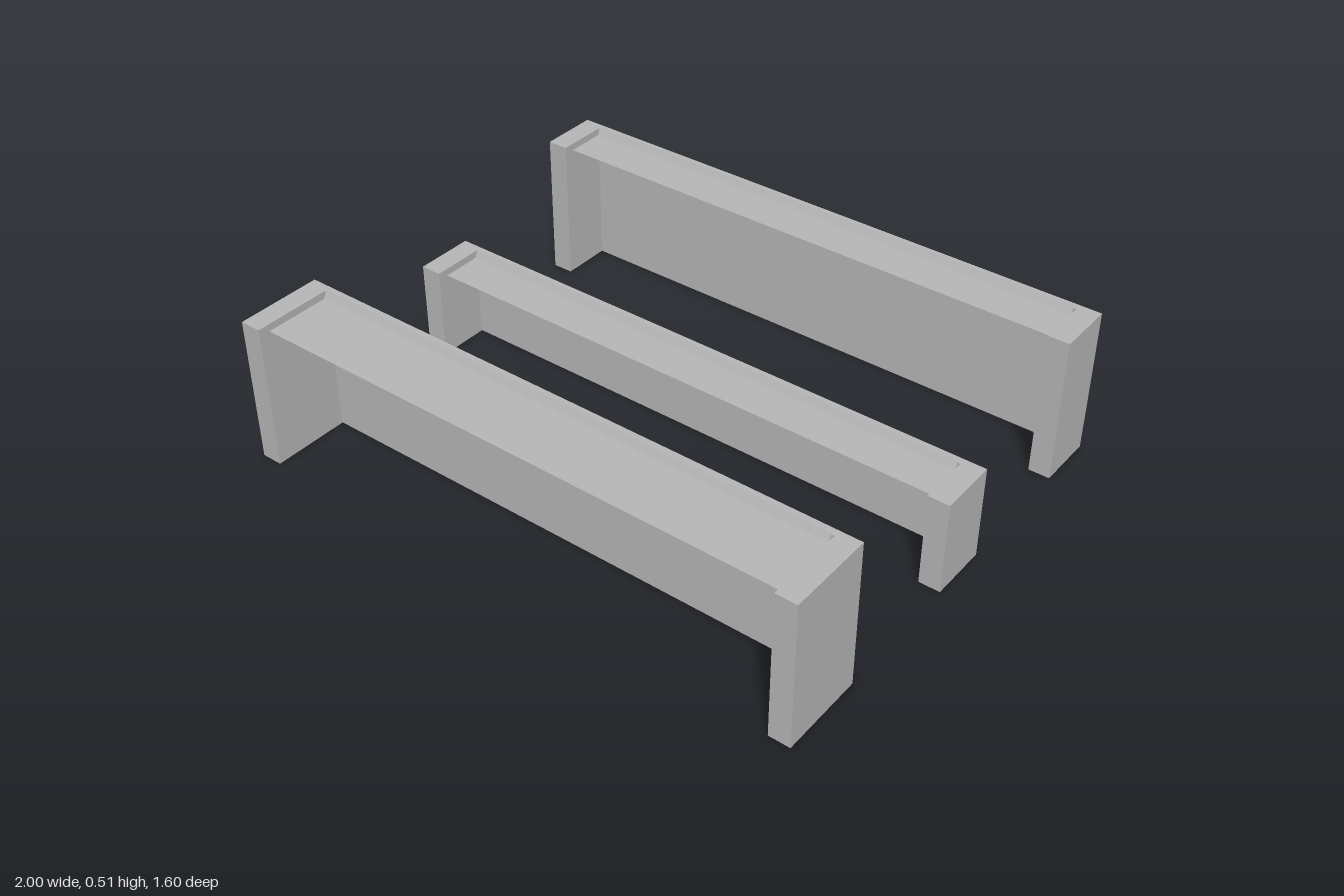
import * as THREE from 'three';

// Closed outline in x/z raised from the floor, open underneath
function wallsAndTop(outline, height) {
  const pos = [];
  outline.forEach(([ax, az], i) => {
    const [bx, bz] = outline[(i + 1) % outline.length];
    pos.push(ax, 0, az, bx, 0, bz, bx, height, bz);
    pos.push(ax, 0, az, bx, height, bz, ax, height, az);
  });
  const walls = new THREE.BufferGeometry();
  walls.setAttribute('position', new THREE.Float32BufferAttribute(pos, 3));
  walls.computeVertexNormals();
  const shape = new THREE.Shape(outline.map(([x, z]) => new THREE.Vector2(x, -z)));
  const top = new THREE.ShapeGeometry(shape).rotateX(-Math.PI / 2).translate(0, height, 0);
  return { walls, top };
}

// Flat strip between two z/y points across the width
function strip(halfWidth, [z0, y0], [z1, y1]) {
  const w = halfWidth;
  const g = new THREE.BufferGeometry();
  g.setAttribute('position', new THREE.Float32BufferAttribute(
    [-w, y0, z0, w, y0, z0, w, y1, z1, -w, y1, z1], 3));
  g.setIndex([0, 1, 2, 0, 2, 3]);
  g.computeVertexNormals();
  return g;
}

export function createModel() {
  const model = new THREE.Group();
  model.name = 'shelfSet';
  const grey = new THREE.MeshStandardMaterial({ color: 0xb8b8b8, side: THREE.DoubleSide });
  grey.name = 'grey';

  const add = (group, name, geometry) => {
    const mesh = new THREE.Mesh(geometry, grey);
    mesh.name = name;
    group.add(mesh);
  };

  // Back edge, front edge, height and front edge of the shelf of each unit
  const units = [
    ['rearUnit', -0.80, -0.597, 0.503, -0.625],
    ['middleUnit', -0.152, 0.052, 0.32, 0.022],
    ['frontUnit', 0.507, 0.80, 0.503, 0.767],
  ];
  for (const [name, back, front, height, shelfFront] of units) {
    const unit = new THREE.Group();
    unit.name = name;
    const inner = back + 0.025, post = 0.928;

    // U-shaped frame: back panel with an end post on each side
    const frame = wallsAndTop([
      [-1, back], [-1, front], [-post, front], [-post, inner],
      [post, inner], [post, front], [1, front], [1, back],
    ], height);
    add(unit, 'frameWalls', frame.walls);
    add(unit, 'frameTop', frame.top);

    // Thin shelf between the posts, with a slanted lip at its back
    const shelfY = height - 0.018, lipZ = inner + 0.014;
    add(unit, 'shelf', strip(0.92, [shelfFront, shelfY], [lipZ, shelfY]));
    add(unit, 'shelfLip', strip(0.92, [lipZ, shelfY], [inner + 0.002, height + 0.008]));
    model.add(unit);
  }
  return model;
}
